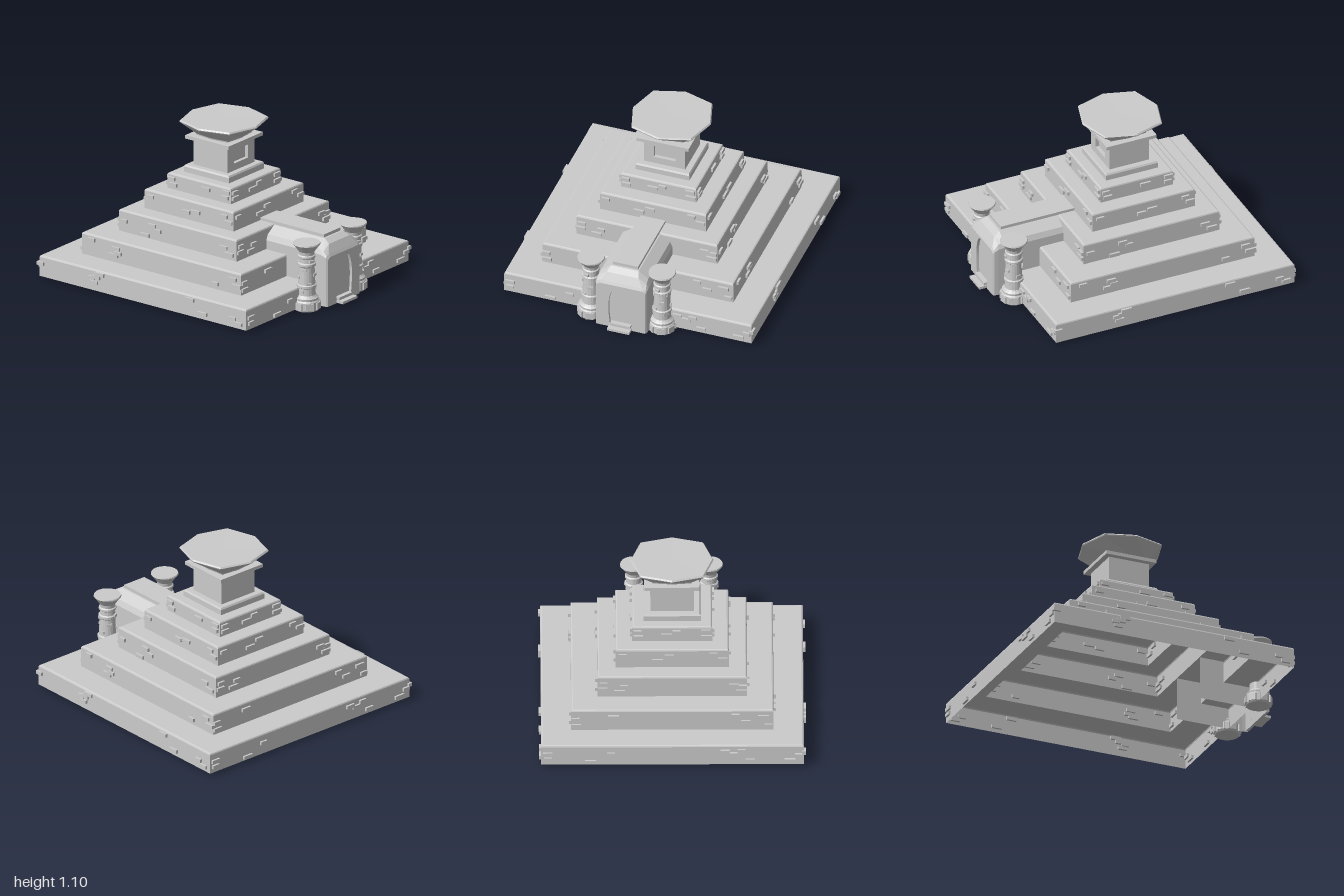
import * as THREE from 'three';

const CX = -0.093; // centre of the pyramid along x
const mat = new THREE.MeshStandardMaterial({ color: 0xcccccc, flatShading: true, side: THREE.DoubleSide });
const smooth = new THREE.MeshStandardMaterial({ color: 0xcccccc, side: THREE.DoubleSide });

function add(parent, name, geometry, x = 0, y = 0, z = 0, material = mat) {
  const mesh = new THREE.Mesh(geometry, material);
  mesh.name = name;
  mesh.position.set(x, y, z);
  parent.add(mesh);
  return mesh;
}

// Square shell turned from a [half width, y] profile
function squareShell(profile) {
  const pts = profile.map(([h, y]) => new THREE.Vector2(h * Math.SQRT2, y));
  return new THREE.LatheGeometry(pts, 4, Math.PI / 4);
}

// Skin over equal-length rings of [x, y, z] points
function loft(rings, closed) {
  const n = rings[0].length, idx = [];
  for (let r = 0; r < rings.length - 1; r++) {
    for (let i = 0; i < (closed ? n : n - 1); i++) {
      const a = r * n + i, b = r * n + (i + 1) % n;
      idx.push(a, b, a + n, b, b + n, a + n);
    }
  }
  const g = new THREE.BufferGeometry();
  g.setAttribute('position', new THREE.Float32BufferAttribute(rings.flat(2), 3));
  g.setIndex(idx);
  g.computeVertexNormals();
  return g;
}

// Tiers: half width, bottom, top, and raised bricks [along, y] on front and side
const tiers = [
  { h: 0.895, y0: 0.015, y1: 0.165,
    front: [[-0.88, 0.11], [-0.4, 0.115], [-0.37, 0.14], [-0.44, 0.105], [-0.42, 0.075], [0.52, 0.055], [0.78, 0.08], [0.83, 0.05], [0.41, 0.135]],
    side: [[0.85, 0.06], [0.85, 0.1], [0.56, 0.04], [0.42, 0.1], [-0.36, 0.12], [-0.42, 0.1], [-0.47, 0.125], [-0.53, 0.05], [-0.8, 0.05], [-0.86, 0.09]] },
  { h: 0.69, y0: 0.165, y1: 0.32,
    front: [[-0.6, 0.285], [-0.39, 0.265], [-0.41, 0.215], [-0.37, 0.235], [0.62, 0.27], [0.655, 0.225], [0.47, 0.205]],
    side: [[0.66, 0.25], [0.655, 0.2], [0.4, 0.27], [-0.43, 0.28], [-0.5, 0.23], [-0.62, 0.27], [-0.655, 0.2]] },
  { h: 0.51, y0: 0.32, y1: 0.475,
    front: [[-0.46, 0.4], [-0.22, 0.42], [-0.28, 0.34], [-0.17, 0.39], [0.4, 0.4], [0.45, 0.36]],
    side: [[0.47, 0.42], [0.475, 0.38], [0.36, 0.36], [0.33, 0.4], [-0.42, 0.41], [-0.47, 0.36], [-0.48, 0.4]] },
  { h: 0.385, y0: 0.475, y1: 0.615,
    front: [[-0.33, 0.57], [-0.02, 0.53], [0.06, 0.545], [0.31, 0.57], [0.345, 0.53]],
    side: [[0.34, 0.57], [0.02, 0.565], [0.1, 0.53], [-0.28, 0.58], [-0.345, 0.54]] },
  { h: 0.273, y0: 0.615, y1: 0.727,
    front: [[-0.235, 0.69], [-0.22, 0.65], [0.06, 0.68], [0.23, 0.655], [0.235, 0.695]],
    side: [[0.235, 0.69], [0.23, 0.65], [0.04, 0.665], [-0.03, 0.69], [-0.23, 0.695], [-0.235, 0.65]] },
];

function buildTiers(root) {
  tiers.forEach((t, k) => {
    const g = new THREE.Group();
    g.name = 'tier' + (k + 1);
    g.position.x = CX;
    root.add(g);
    const inner = k < 4 ? tiers[k + 1].h : 0.19, b = 0.012;
    add(g, 'tierShell', squareShell([[t.h, t.y0], [t.h, t.y1 - b], [t.h - b * 0.3, t.y1 - b * 0.3], [t.h - b, t.y1], [inner, t.y1]]));
    for (let s = 0; s < 4; s++) {
      const wall = new THREE.Group();
      wall.name = 'wallBricks';
      wall.rotation.y = s * Math.PI / 2;
      g.add(wall);
      const list = s % 2 ? t.side : t.front;
      list.forEach(([u, y], i) => {
        // the side list runs along z, which is reversed on the turned wall
        add(wall, 'brick', new THREE.BoxGeometry(0.055 + 0.01 * (i % 3), 0.025, 0.03), s % 2 ? -u : u, y, t.h);
      });
    }
  });
}

function buildTower(root) {
  const g = new THREE.Group();
  g.name = 'tower';
  g.position.x = CX;
  root.add(g);
  add(g, 'plinth', squareShell([[0.195, 0.727], [0.195, 0.765], [0.188, 0.777], [0.13, 0.777]]));
  add(g, 'towerBody', new THREE.BoxGeometry(0.27, 0.2, 0.296), -0.013, 0.875, 0);
  // Face with a recessed window
  const face = new THREE.Shape([[-0.148, 0.775], [0.148, 0.775], [0.148, 0.975], [-0.148, 0.975]].map(p => new THREE.Vector2(...p)));
  face.holes.push(new THREE.Path([[-0.078, 0.828], [-0.078, 0.922], [0.078, 0.922], [0.078, 0.828]].map(p => new THREE.Vector2(...p))));
  add(g, 'windowFace', new THREE.ExtrudeGeometry(face, { depth: 0.026, bevelEnabled: false }), 0.122, 0, 0).rotation.y = Math.PI / 2;
  add(g, 'collar', new THREE.BoxGeometry(0.376, 0.025, 0.376), 0, 0.978, 0);
  // Flared eight-sided bowl: [axis radius, diagonal radius, y]
  const rings = [[0, 0, 0.985], [0.145, 0.185, 0.985], [0.15, 0.19, 1.0], [0.278, 0.302, 1.085], [0.283, 0.306, 1.093], [0.275, 0.298, 1.103], [0, 0, 1.1]]
    .map(([ra, rd, y]) => Array.from({ length: 8 }, (_, i) => {
      const r = i % 2 ? rd : ra, a = -i * Math.PI / 4;
      return [r * Math.cos(a), y, r * Math.sin(a)];
    }));
  add(g, 'bowl', loft(rings, true));
}

function buildEntrance(root) {
  const g = new THREE.Group();
  g.name = 'entrance';
  root.add(g);
  // Arched section: half width, shoulder height, top height, half width of the top
  const section = (w, ys, yt, wt) => {
    const half = [[w, 0.015], [w, ys], [w - (w - wt) * 0.2, ys + (yt - ys) * 0.45], [wt, yt]];
    return [...half, ...half.slice().reverse().map(([z, y]) => [-z, y])];
  };
  const end = section(0.175, 0.345, 0.37, 0.155);
  const stations = [
    [0.42, section(0.187, 0.385, 0.472, 0.1)],
    [0.86, section(0.187, 0.385, 0.472, 0.1)],
    [0.905, section(0.187, 0.38, 0.445, 0.115)],
    [0.935, section(0.184, 0.365, 0.39, 0.15)],
    [0.945, end],
  ];
  add(g, 'entranceVault', loft(stations.map(([x, s]) => s.map(([z, y]) => [x, y, z])), false));
  add(g, 'roofRidge', new THREE.BoxGeometry(0.555, 0.024, 0.18), 0.567, 0.482, 0);

  // End wall with an arched doorway, recessed panel behind it
  const arch = new THREE.Shape();
  arch.moveTo(-0.078, 0.04);
  arch.lineTo(0.078, 0.04);
  arch.bezierCurveTo(0.095, 0.17, 0.095, 0.25, 0.065, 0.32);
  arch.bezierCurveTo(0.045, 0.375, -0.045, 0.375, -0.065, 0.32);
  arch.bezierCurveTo(-0.095, 0.25, -0.095, 0.17, -0.078, 0.04);
  const wall = new THREE.Shape(end.map(([z, y]) => new THREE.Vector2(z, y)));
  wall.holes.push(arch);
  add(g, 'doorWall', new THREE.ExtrudeGeometry(wall, { depth: 0.02, bevelEnabled: false }), 0.925, 0, 0).rotation.y = Math.PI / 2;
  add(g, 'door', new THREE.ShapeGeometry(arch), 0.926, 0, 0).rotation.y = Math.PI / 2;
  add(g, 'doorStep', new THREE.BoxGeometry(0.06, 0.018, 0.16), 0.97, 0.028, 0);
  add(g, 'doorSill', new THREE.BoxGeometry(0.035, 0.022, 0.145), 0.945, 0.046, 0);
}

function buildPillar(root, side) {
  const g = new THREE.Group();
  g.name = side > 0 ? 'frontPillar' : 'backPillar';
  g.position.set(0.825, 0, 0.257 * side);
  root.add(g);
  const profile = [[0, 0], [0.082, 0], [0.088, 0.01], [0.088, 0.065], [0.08, 0.075], [0.082, 0.09], [0.07, 0.1], [0.062, 0.11],
    [0.06, 0.16], [0.068, 0.165], [0.068, 0.18], [0.059, 0.186], [0.054, 0.31], [0.063, 0.318], [0.063, 0.335], [0.053, 0.342],
    [0.052, 0.37], [0.06, 0.376], [0.06, 0.39], [0.052, 0.397], [0.055, 0.42], [0.09, 0.468], [0.095, 0.474], [0.092, 0.483], [0, 0.483]];
  add(g, 'column', new THREE.LatheGeometry(profile.map(p => new THREE.Vector2(...p)), 20));
  // Blocks around the foot and raised bricks up the shaft
  const block = (name, a, r, y, w, h, d) => {
    const m = add(g, name, new THREE.BoxGeometry(w, h, d), r * Math.sin(a), y, r * Math.cos(a));
    m.rotation.y = a;
  };
  for (let i = 0; i < 7; i++) block('footBlock', i * Math.PI * 2 / 7, 0.084, 0.036, 0.055, 0.05, 0.02);
  for (let i = 0; i < 12; i++) block('shaftBrick', i * 2.4, 0.053, 0.135 + i * 0.02, 0.036, 0.018, 0.02);
}

export function createModel() {
  const root = new THREE.Group();
  root.name = 'steppedPyramid';
  buildTiers(root);
  buildTower(root);
  buildEntrance(root);
  for (const side of [1, -1]) buildPillar(root, side);
  return root;
}
